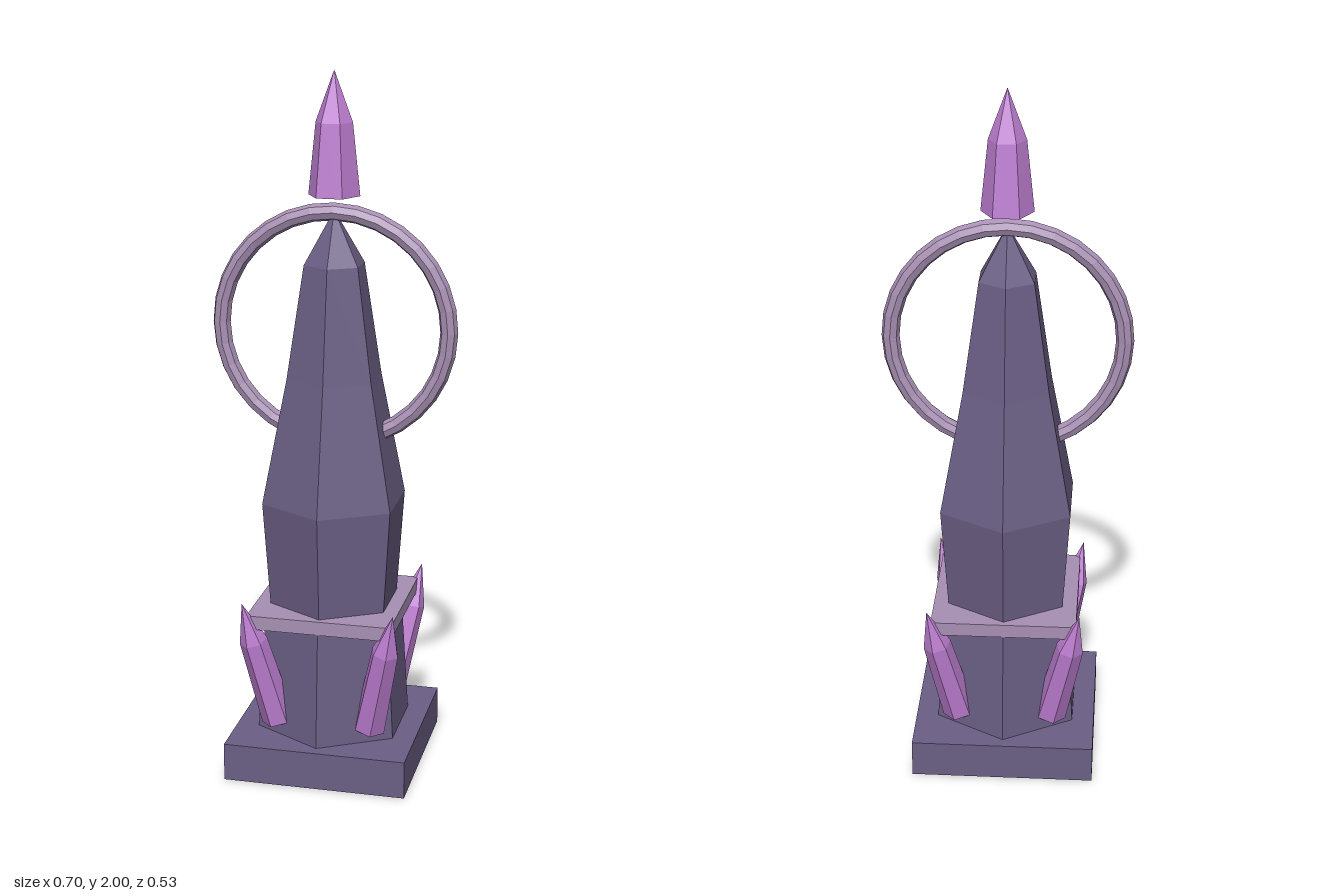
import * as THREE from 'three';

const material = (name, color) => {
  const m = new THREE.MeshStandardMaterial({ color, flatShading: true });
  m.name = name;
  return m;
};

// Six-sided solid of revolution from [radius, y] pairs, listed upwards
function hexSolid(profile) {
  return new THREE.LatheGeometry(profile.map(([r, y]) => new THREE.Vector2(r, y)), 6);
}

export function createModel() {
  const group = new THREE.Group();
  const stone = material('dark violet stone', 0x6b5f85);
  const trim = material('pale mauve trim', 0xa890b4);
  const crystal = material('bright violet crystal', 0xc080d4);

  const add = (name, geometry, mat, x = 0, y = 0, z = 0) => {
    const mesh = new THREE.Mesh(geometry, mat);
    mesh.name = name;
    mesh.position.set(x, y, z);
    group.add(mesh);
    return mesh;
  };

  // Plinth, pedestal and collar
  add('plinth', new THREE.BoxGeometry(0.526, 0.11, 0.526), stone, 0, 0.055, 0);
  add('pedestal', hexSolid([[0, 0.11], [0.23, 0.11], [0.207, 0.455], [0, 0.455]]), stone);
  add('collar', new THREE.BoxGeometry(0.416, 0.04, 0.416), trim, 0, 0.468, 0);

  // Faceted obelisk
  add('obelisk', hexSolid([
    [0, 0.47], [0.19, 0.47], [0.213, 0.79], [0.139, 1.15], [0.088, 1.47], [0, 1.62],
  ]), stone);

  // Upright ring passing through the obelisk
  add('ring', new THREE.TorusGeometry(0.325, 0.025, 8, 32), trim, 0, 1.29, 0);

  // Floating crystal at the top
  const topCrystal = add('topCrystal',
    hexSolid([[0, 0], [0.073, 0], [0.052, 0.2], [0, 0.34]]), crystal, 0, 1.66, 0);
  topCrystal.rotation.y = Math.PI / 6;

  // Four corner crystals leaning outwards along the diagonals
  const shard = hexSolid([[0, 0], [0.048, 0], [0.04, 0.27], [0, 0.395]]);
  shard.rotateY(Math.PI / 6);
  const up = new THREE.Vector3(0, 1, 0);
  for (let i = 0; i < 4; i++) {
    const angle = Math.PI / 4 + i * Math.PI / 2;
    const sx = Math.sign(Math.sin(angle)), sz = Math.sign(Math.cos(angle));
    const mesh = add('cornerCrystal' + (i + 1), shard, crystal, sx * 0.135, 0.15, sz * 0.135);
    const lean = new THREE.Vector3(sx * 0.083, 0.38, sz * 0.083).normalize();
    mesh.quaternion.setFromUnitVectors(up, lean)
      .multiply(new THREE.Quaternion().setFromAxisAngle(up, angle));
  }
  return group;
}
